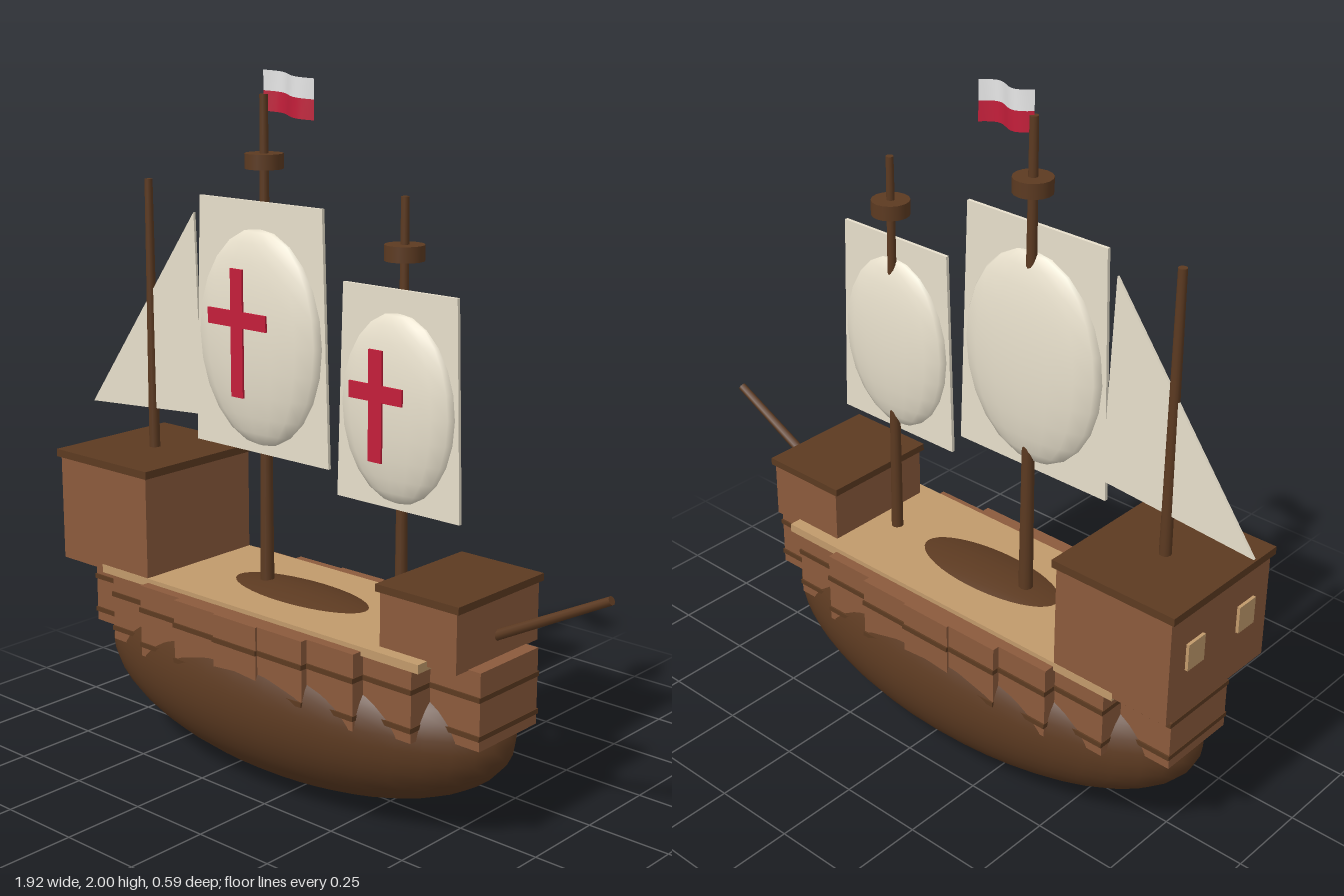
import * as THREE from 'three';

const mat = (name, color, side = THREE.FrontSide) => {
  const m = new THREE.MeshStandardMaterial({ color, side });
  m.name = name;
  return m;
};

export function createModel() {
  const ship = new THREE.Group();
  ship.name = 'sailingShip';
  const darkWood = mat('dark wood', 0x5c3a21);
  const wood = mat('wood', 0x8b5a3c);
  const deckWood = mat('deck wood', 0xc19a6b);
  const canvas = mat('canvas', 0xe8e0cc);
  const red = mat('red', 0xc41e3a, THREE.DoubleSide);
  const white = mat('white', 0xf5f5f5, THREE.DoubleSide);

  const add = (name, geo, material, x = 0, y = 0, z = 0, parent = ship) => {
    const m = new THREE.Mesh(geo, material);
    m.name = name;
    m.position.set(x, y, z);
    parent.add(m);
    return m;
  };
  // box given by its x range, y range and half depth
  const block = (name, material, x0, x1, y0, y1, halfZ, parent = ship) =>
    add(name, new THREE.BoxGeometry(x1 - x0, y1 - y0, halfZ * 2), material,
      (x0 + x1) / 2, (y0 + y1) / 2, 0, parent);
  // thin plate from an outline in x and y
  const plate = (name, pts, depth, z, parent = ship) =>
    add(name, new THREE.ExtrudeGeometry(
      new THREE.Shape(pts.map(p => new THREE.Vector2(...p))),
      { depth, bevelEnabled: false }), canvas, 0, 0, z, parent);

  // Rounded hull
  const hullX = -0.09, hullLen = 0.74, hullWide = 0.293;
  add('hull', new THREE.SphereGeometry(1, 40, 24), darkWood, hullX, 0.278, 0)
    .scale.set(hullLen, 0.278, hullWide);

  // Stepped side planking with two dark rails on each section
  const planking = new THREE.Group();
  planking.name = 'planking';
  ship.add(planking);
  const step = hullLen * 2 / 9;
  for (let i = -4; i <= 4; i++) {
    const x = hullX + i * step;
    const half = 0.93 * hullWide * Math.sqrt(1 - (i * step / hullLen) ** 2);
    block('plankSection', wood, x - step / 2, x + step / 2, 0.31, 0.527, half, planking);
    for (const y of [0.346, 0.453])
      block('rail', darkWood, x - step / 2 - 0.002, x + step / 2 + 0.002, y - 0.007, y + 0.007, half + 0.005, planking);
  }

  // Deck and castles
  block('deck', deckWood, -0.7, 0.515, 0.515, 0.54, 0.213);
  block('aftCastle', wood, -0.873, -0.503, 0.525, 0.842, 0.212);
  block('aftRoof', darkWood, -0.884, -0.493, 0.842, 0.865, 0.22);
  block('foreCastle', wood, 0.355, 0.61, 0.525, 0.692, 0.176);
  block('foreRoof', darkWood, 0.344, 0.62, 0.692, 0.713, 0.183);
  for (const z of [-0.11, 0.11])
    add('sternWindow', new THREE.BoxGeometry(0.009, 0.08, 0.07), deckWood, -0.8775, 0.705, z);

  // Masts: name, x, bottom, top, bottom radius, top radius
  for (const [name, x, y0, y1, r0, r1] of [
    ['mainMast', -0.222, 0.5, 1.935, 0.021, 0.012],
    ['foreMast', 0.28, 0.5, 1.7, 0.018, 0.011],
    ['mizzenMast', -0.69, 0.84, 1.67, 0.017, 0.012]])
    add(name, new THREE.CylinderGeometry(r1, r0, y1 - y0, 12), darkWood, x, (y0 + y1) / 2, 0);
  for (const [x, y] of [[-0.222, 1.755], [0.28, 1.555]])
    add('crowsNest', new THREE.CylinderGeometry(0.054, 0.054, 0.042, 16), darkWood, x, y, 0);

  // Bowsprit
  const a = new THREE.Vector3(0.6, 0.583, 0), b = new THREE.Vector3(0.952, 0.763, 0);
  add('bowsprit', new THREE.CylinderGeometry(0.012, 0.015, a.distanceTo(b), 10), darkWood,
    (a.x + b.x) / 2, (a.y + b.y) / 2, 0)
    .rotation.z = Math.atan2(b.y - a.y, b.x - a.x) - Math.PI / 2;

  // Square sails with a billowing middle and a red cross standing in front
  const squareSail = (name, s) => {
    const g = new THREE.Group();
    g.name = name;
    g.position.x = s.x;
    ship.add(g);
    plate('sailSheet', [[-s.low, s.y0], [s.low, s.y0], [s.top, s.y1], [-s.top, s.y1]], 0.01, 0.012, g);
    add('sailBillow', new THREE.SphereGeometry(1, 16, 12), canvas, 0, s.by, 0.017, g)
      .scale.set(s.rx, s.ry, s.rz);
    const [c0, c1, armY, arm] = s.cross;
    add('crossUpright', new THREE.BoxGeometry(0.045, c1 - c0, 0.006), red, 0, (c0 + c1) / 2, 0.113, g);
    for (const side of [-1, 1])
      add('crossArm', new THREE.BoxGeometry(arm - 0.0225, 0.045, 0.006), red,
        side * (arm + 0.0225) / 2, armY, 0.113, g);
  };
  squareSail('mainSail', {
    x: -0.222, y0: 0.93, y1: 1.645, low: 0.257, top: 0.233,
    by: 1.262, rx: 0.237, ry: 0.31, rz: 0.062, cross: [1.11, 1.47, 1.33, 0.111]
  });
  squareSail('foreSail', {
    x: 0.28, y0: 0.865, y1: 1.46, low: 0.212, top: 0.193,
    by: 1.14, rx: 0.195, ry: 0.26, rz: 0.055, cross: [1.015, 1.315, 1.2, 0.09]
  });

  // Triangular sail at the stern
  plate('lateenSail', [[-0.958, 0.965], [-0.477, 1.0], [-0.5, 1.59]], 0.008, -0.004);

  // Waving two-colour flag
  const flagHalf = (name, material, y) => {
    const geo = new THREE.PlaneGeometry(0.185, 0.055, 12, 1);
    const p = geo.attributes.position;
    for (let i = 0; i < p.count; i++) {
      const t = p.getX(i) / 0.185 + 0.5;
      p.setY(i, p.getY(i) - 0.016 * t);
      p.setZ(i, -0.02 * Math.sin(t * Math.PI * 2));
    }
    geo.computeVertexNormals();
    add(name, geo, material, -0.13, y, 0);
  };
  flagHalf('flagUpper', white, 1.9725);
  flagHalf('flagLower', red, 1.9175);

  return ship;
}
